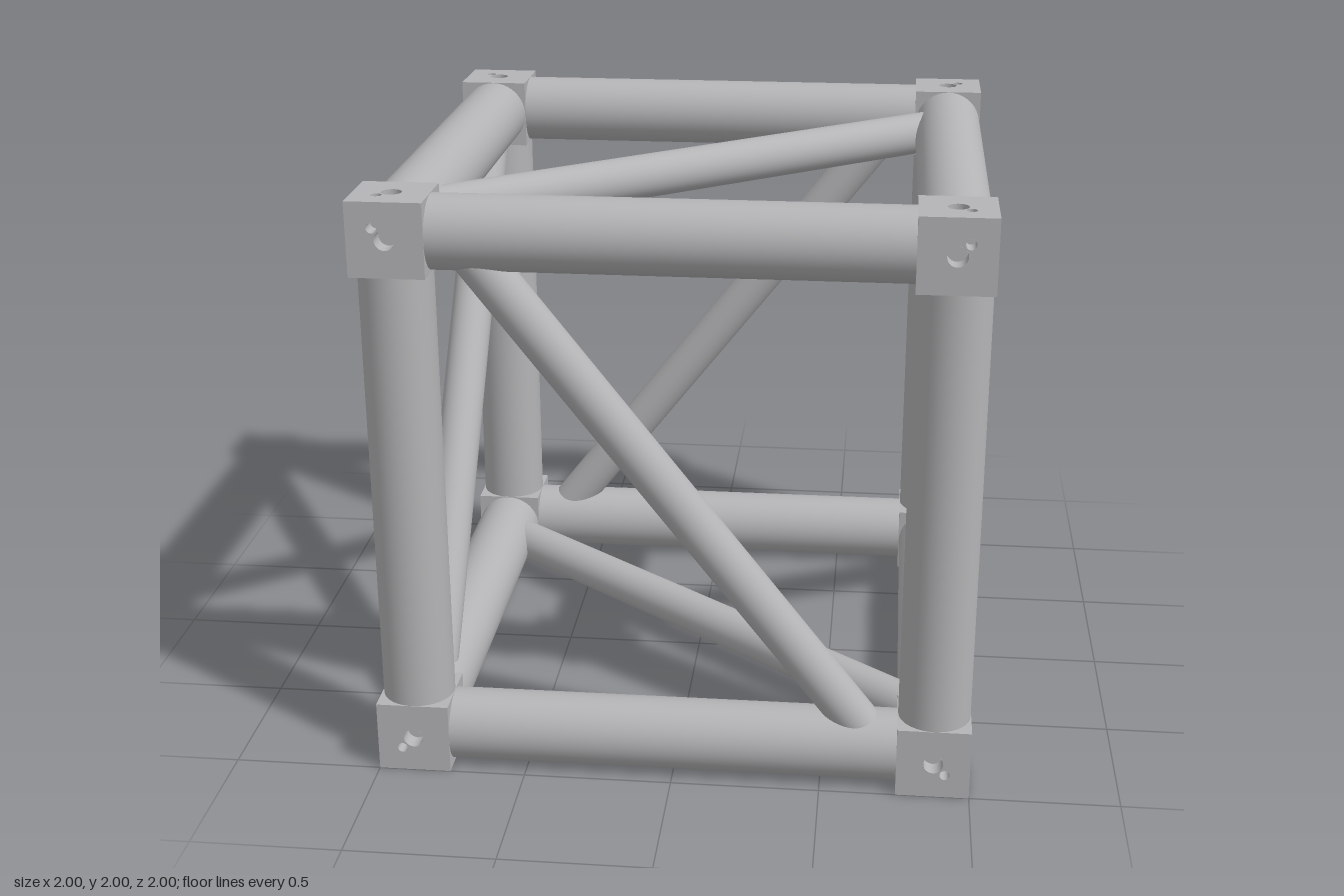
import * as THREE from 'three';
import { mergeGeometries } from 'three/addons/utils/BufferGeometryUtils.js';

const SIZE = 0.245;             // corner block edge
const MID = 1 - SIZE / 2;       // centre line of beams and blocks
const HOLES = [[0, 0, 0.033], [0.039, 0.039, 0.017]]; // x, y, radius
const DEPTH = 0.06;

// Outer face of a block with its two drilled recesses, facing +z
function drilledFace() {
  const h = SIZE / 2;
  const shape = new THREE.Shape([
    new THREE.Vector2(-h, -h), new THREE.Vector2(h, -h),
    new THREE.Vector2(h, h), new THREE.Vector2(-h, h),
  ]);
  const parts = [];
  for (const [x, y, r] of HOLES) {
    shape.holes.push(new THREE.Path().absarc(x, y, r, 0, Math.PI * 2, true));
    const wall = new THREE.CylinderGeometry(r, r, DEPTH, 24, 1, true).rotateX(Math.PI / 2);
    parts.push(wall.translate(x, y, h - DEPTH / 2));
    parts.push(new THREE.CircleGeometry(r, 24).translate(x, y, h - DEPTH));
  }
  parts.push(new THREE.ShapeGeometry(shape, 24).translate(0, 0, h));
  return mergeGeometries(parts);
}

// Block with drilled faces on +x, +y, +z and plain faces on the other sides
function blockGeometry() {
  const front = drilledFace();
  const plain = new THREE.PlaneGeometry(SIZE, SIZE).translate(0, 0, SIZE / 2);
  const parts = [front, plain.clone().rotateY(Math.PI), plain.clone().rotateY(-Math.PI / 2), plain.clone().rotateX(Math.PI / 2)];
  // the cyclic turn z -> x -> y keeps the small holes near the outer corner
  const cycle = new THREE.Matrix4().makeBasis(
    new THREE.Vector3(0, 1, 0), new THREE.Vector3(0, 0, 1), new THREE.Vector3(1, 0, 0));
  const side = front.clone().applyMatrix4(cycle);
  parts.push(side, side.clone().applyMatrix4(cycle));
  return mergeGeometries(parts);
}

export function createModel() {
  const steel = new THREE.MeshStandardMaterial({ color: 0xb4b4b6, side: THREE.DoubleSide });
  steel.name = 'grey steel';
  const model = new THREE.Group();
  model.name = 'cubeFrame';

  function tube(name, a, b, radius) {
    const from = new THREE.Vector3(...a), to = new THREE.Vector3(...b);
    const dir = to.clone().sub(from);
    const mesh = new THREE.Mesh(new THREE.CylinderGeometry(radius, radius, dir.length(), 40), steel);
    mesh.name = name;
    mesh.position.copy(from).add(to).multiplyScalar(0.5);
    mesh.quaternion.setFromUnitVectors(new THREE.Vector3(0, 1, 0), dir.normalize());
    mesh.position.y += 1;
    model.add(mesh);
  }

  // Corner blocks: four on top, four turned over below
  const block = blockGeometry();
  for (const flip of [0, 1]) {
    for (let k = 0; k < 4; k++) {
      const mesh = new THREE.Mesh(block, steel);
      mesh.name = flip ? 'bottomCorner' : 'topCorner';
      mesh.rotation.set(flip * Math.PI, k * Math.PI / 2, 0, 'YXZ');
      mesh.position.set(MID, MID, MID).applyEuler(mesh.rotation);
      mesh.position.y += 1;
      model.add(mesh);
    }
  }

  // Twelve edge beams
  const end = 1 - SIZE + 0.003;
  for (const s of [-MID, MID]) {
    for (const t of [-MID, MID]) {
      tube('crossBeam', [-end, s, t], [end, s, t], 0.121);
      tube('post', [s, -end, t], [s, end, t], 0.121);
      tube('sideBeam', [s, t, -end], [s, t, end], 0.121);
    }
  }

  // One diagonal brace per face, crossing between opposite faces
  const long = 0.84, short = 0.655, r = 0.075;
  for (const s of [1, -1]) {
    tube(s > 0 ? 'frontBrace' : 'backBrace', [-s * short, long, s * MID], [s * short, -long, s * MID], r);
    tube(s > 0 ? 'leftBrace' : 'rightBrace', [s * MID, long, s * short], [s * MID, -long, -s * short], r);
    tube(s > 0 ? 'topBrace' : 'bottomBrace', [-long, s * MID, s * short], [long, s * MID, -s * short], r);
  }
  return model;
}
